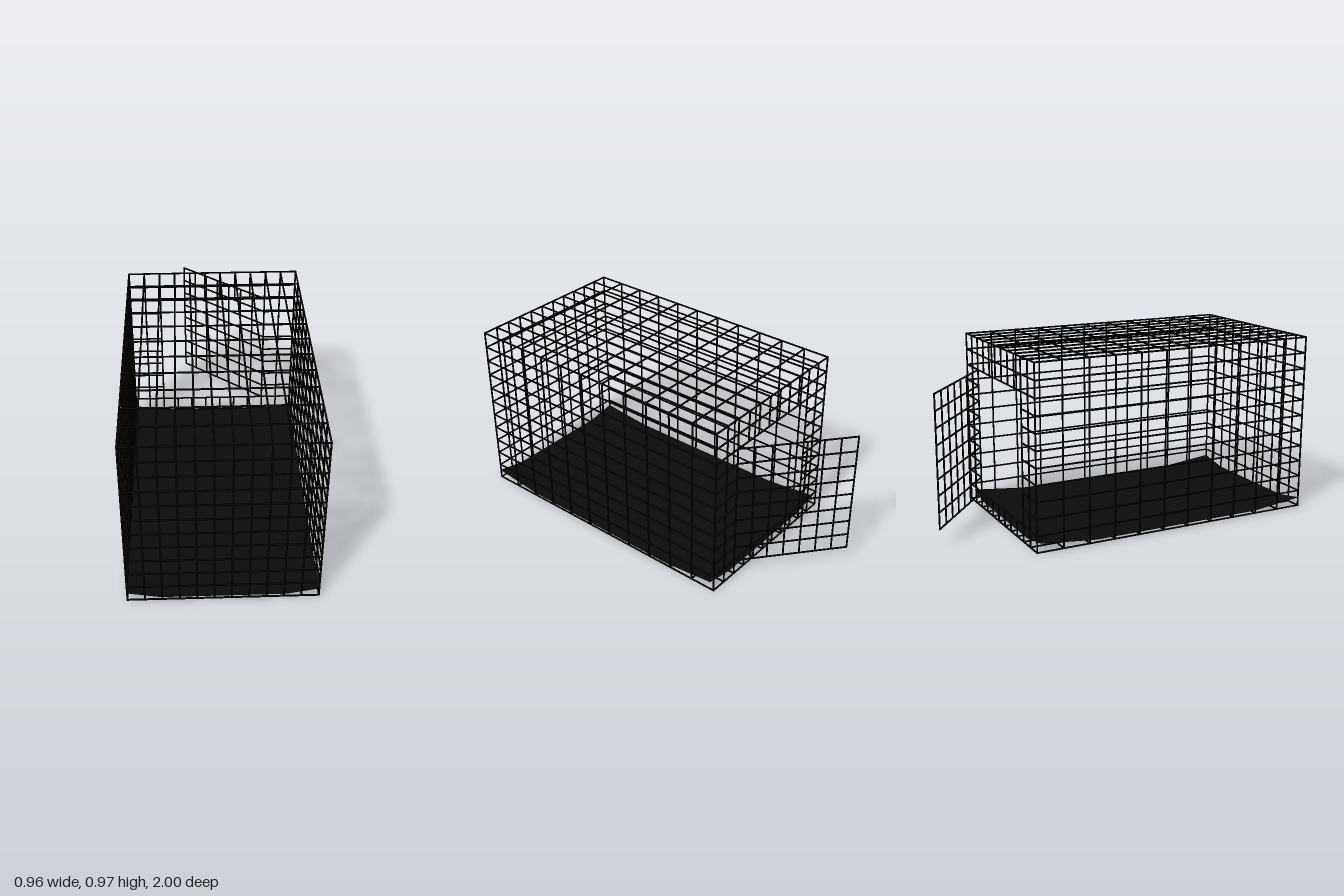
import * as THREE from 'three';
import { mergeGeometries } from 'three/addons/utils/BufferGeometryUtils.js';

const X = 0.475, Y0 = 0.006, Y1 = 0.963, Z0 = -0.6, Z1 = 0.995;
const CELLS = 11, R = 0.0048;
const material = new THREE.MeshStandardMaterial({ color: 0x0a0a0a, side: THREE.DoubleSide });

// Straight wire between two points
function wire(a, b) {
  const dir = b.clone().sub(a);
  const geo = new THREE.CylinderGeometry(R, R, dir.length() + R, 8);
  geo.applyQuaternion(new THREE.Quaternion().setFromUnitVectors(new THREE.Vector3(0, 1, 0), dir.normalize()));
  const mid = a.clone().add(b).multiplyScalar(0.5);
  return geo.translate(mid.x, mid.y, mid.z);
}

// Wire grid spanned by u and v from an origin; hole = [u0, u1, v0, v1] in cells
function meshPanel(name, origin, u, v, nu, nv, hole) {
  const at = (i, j) => origin.clone().addScaledVector(u, i / nu).addScaledVector(v, j / nv);
  const parts = [];
  for (let i = 0; i <= nu; i++) {
    const cut = hole && i > hole[0] && i < hole[1];
    const spans = cut ? [[0, hole[2]], [hole[3], nv]] : [[0, nv]];
    for (const [s, e] of spans) parts.push(wire(at(i, s), at(i, e)));
  }
  for (let j = 0; j <= nv; j++) {
    const cut = hole && j > hole[2] && j < hole[3];
    const spans = cut ? [[0, hole[0]], [hole[1], nu]] : [[0, nu]];
    for (const [s, e] of spans) parts.push(wire(at(s, j), at(e, j)));
  }
  const mesh = new THREE.Mesh(mergeGeometries(parts), material);
  mesh.name = name;
  return mesh;
}

// Thin floor sheet with its four corners curled up
function floorSheet() {
  const z0 = -0.58, z1 = 0.997, x = 0.478;
  const geo = new THREE.PlaneGeometry(2 * x, z1 - z0, 40, 60);
  geo.rotateX(-Math.PI / 2).translate(0, 0.021, (z0 + z1) / 2);
  const p = geo.attributes.position;
  for (let i = 0; i < p.count; i++) {
    const dx = x - Math.abs(p.getX(i));
    const dz = Math.min(p.getZ(i) - z0, z1 - p.getZ(i));
    p.setY(i, p.getY(i) + 0.032 * Math.max(0, 1 - dx / 0.17 - dz / 0.3));
  }
  geo.computeVertexNormals();
  const mesh = new THREE.Mesh(geo, material);
  mesh.name = 'floorSheet';
  return mesh;
}

export function createModel() {
  const group = new THREE.Group();
  group.name = 'wireCage';
  const V = (x, y, z) => new THREE.Vector3(x, y, z);
  const w = V(2 * X, 0, 0), h = V(0, Y1 - Y0, 0), d = V(0, 0, Z1 - Z0);

  // Cage walls, roof and base
  group.add(meshPanel('frontPanel', V(-X, Y0, Z1), w, h, CELLS, CELLS));
  group.add(meshPanel('backPanel', V(-X, Y0, Z0), w, h, CELLS, CELLS, [2, 9, 1, 9]));
  group.add(meshPanel('leftPanel', V(X, Y0, Z0), d, h, CELLS, CELLS));
  group.add(meshPanel('rightPanel', V(-X, Y0, Z0), d, h, CELLS, CELLS));
  group.add(meshPanel('roofPanel', V(-X, Y1, Z0), w, d, CELLS, CELLS));
  group.add(meshPanel('basePanel', V(-X, Y0, Z0), w, d, CELLS, CELLS));

  // Door standing open on its hinge side
  const cell = (Y1 - Y0) / CELLS;
  const door = meshPanel('door', V(0.302, Y0 + cell, Z0), V(-0.463, 0, -0.394), V(0, 8 * cell, 0), 7, 8);
  group.add(door);

  group.add(floorSheet());
  return group;
}
